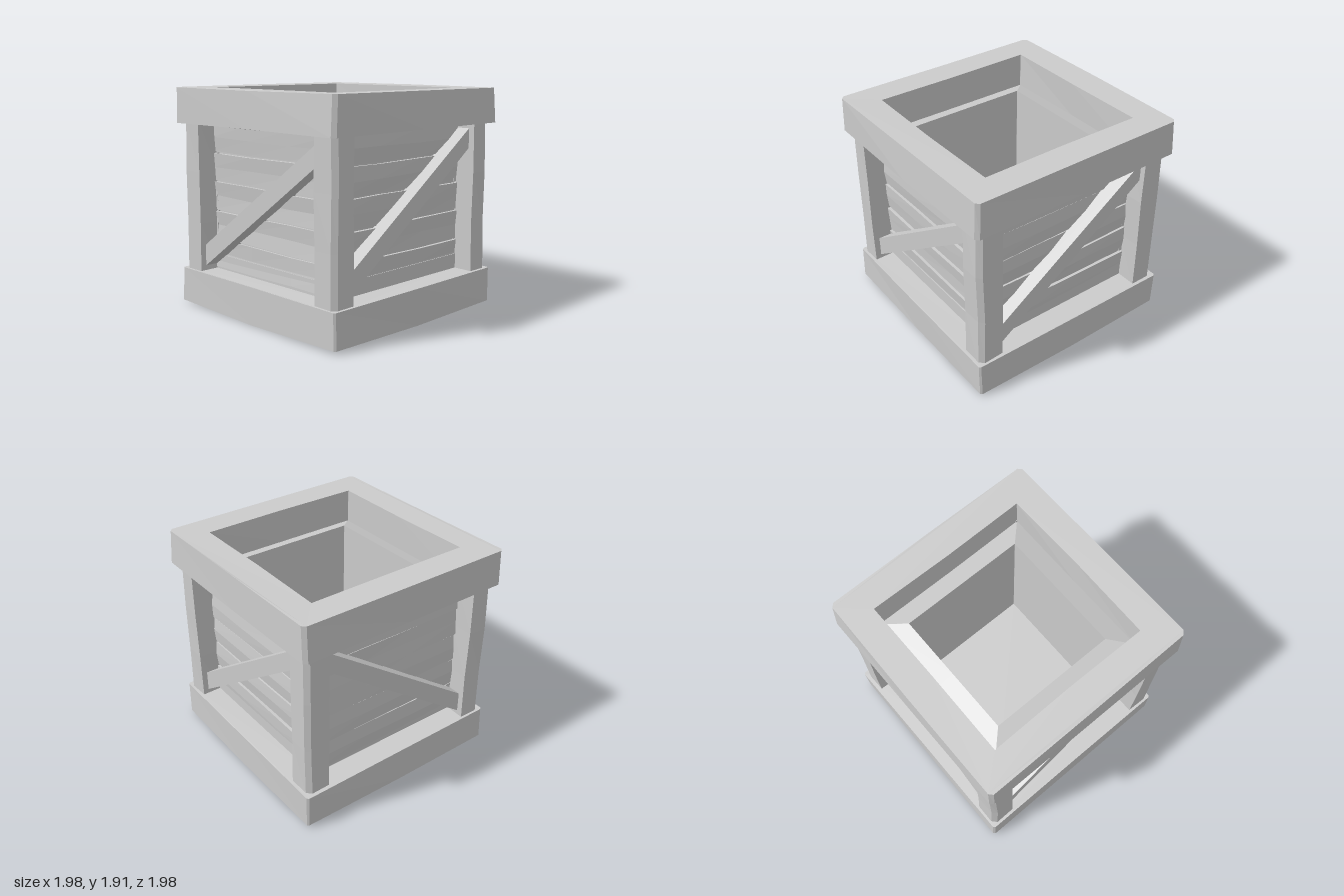
import * as THREE from 'three';

const material = new THREE.MeshStandardMaterial({ color: 0xcccccc, flatShading: true });

// Moves every vertex by a rule of its position, so seams stay closed
function reshape(geometry, rule) {
  const p = geometry.attributes.position;
  const v = new THREE.Vector3();
  for (let i = 0; i < p.count; i++) {
    rule(v.fromBufferAttribute(p, i));
    p.setXYZ(i, v.x, v.y, v.z);
  }
  geometry.computeVertexNormals();
  return geometry;
}

// Hand-hewn unevenness
function hew(geometry, amount, seed) {
  return reshape(geometry, (v) => {
    const phase = v.x * 5.3 + v.y * 7.1 + v.z * 4.7 + seed * 2.3;
    v.x += amount * Math.sin(phase + 1);
    v.y += amount * 0.6 * Math.sin(phase * 1.7 + 2);
    v.z += amount * Math.sin(phase * 2.3 + 4);
  });
}

function part(name, geometry) {
  const mesh = new THREE.Mesh(geometry, material);
  mesh.name = name;
  return mesh;
}

// Square outline with clipped corners and a point halfway along each side
function squarePoints(half, clip) {
  const points = [];
  for (let i = 0; i < 4; i++) {
    const a = i * Math.PI / 2;
    for (const [x, y] of [[half, -half + clip], [half, 0], [half, half - clip]]) {
      points.push(new THREE.Vector2(x * Math.cos(a) - y * Math.sin(a), x * Math.sin(a) + y * Math.cos(a)));
    }
  }
  return points;
}

// Upright extrusion of a plan shape from y0 to y1
function upright(shape, y0, y1, steps = 1) {
  const geometry = new THREE.ExtrudeGeometry(shape, { depth: y1 - y0, steps, bevelEnabled: false });
  return geometry.rotateX(-Math.PI / 2).translate(0, y0, 0);
}

// Hollow square standing from y0 to y1
function ring(outer, inner, y0, y1, clip) {
  const shape = new THREE.Shape(squarePoints(outer, clip));
  shape.holes.push(new THREE.Path(squarePoints(inner, 0.001)));
  return upright(shape, y0, y1);
}

// One side: five planks and a diagonal brace, built facing +z
function buildSide(name, seed, mirror) {
  const side = new THREE.Group();
  side.name = name;
  const bottom = 0.335, pitch = 0.254;
  for (let i = 0; i < 5; i++) {
    const plank = new THREE.BoxGeometry(1.5, pitch - 0.014, 0.07, 3, 2, 1);
    plank.translate(0, bottom + pitch * (i + 0.5), 0.725);
    side.add(part('plank', hew(plank, 0.009, seed * 5 + i * 1.7)));
  }
  const corners = [[-0.74, 0.35], [0.735, 1.4], [0.735, 1.57], [-0.74, 0.535]];
  const outline = new THREE.Shape(corners.map(([u, y]) => new THREE.Vector2(u * mirror, y)));
  const brace = new THREE.ExtrudeGeometry(outline, { depth: 0.15, bevelEnabled: false });
  side.add(part('diagonalBrace', brace.translate(0, 0, 0.73)));
  return side;
}

export function createModel() {
  const crate = new THREE.Group();
  crate.name = 'woodenCrate';

  // Rim frame, slightly flared toward its lower edge
  const rim = reshape(ring(0.985, 0.727, 1.605, 1.908, 0.03), (v) => {
    if (v.y > 1.8 && Math.max(Math.abs(v.x), Math.abs(v.z)) > 0.9) {
      v.x *= 0.988;
      v.z *= 0.988;
    }
  });
  crate.add(part('topFrame', hew(rim, 0.005, 1)));

  // Base frame, sagging a little at the middle of each side
  const base = reshape(ring(0.962, 0.75, 0.022, 0.32, 0.015), (v) => {
    if (v.y < 0.1 && Math.min(Math.abs(v.x), Math.abs(v.z)) < 0.1) v.y -= 0.018;
  });
  crate.add(part('bottomFrame', hew(base, 0.005, 2)));

  // Inner lining, its top sloping up toward the opening, and the floor
  const lining = reshape(ring(0.74, 0.555, 0.3, 1.603, 0.001), (v) => {
    if (v.y > 1 && Math.max(Math.abs(v.x), Math.abs(v.z)) < 0.6) v.y += 0.065;
  });
  crate.add(part('innerLining', lining));
  crate.add(part('floor', new THREE.BoxGeometry(1.52, 0.15, 1.52).translate(0, 0.375, 0)));

  // Corner posts with the outer edge chamfered
  const plan = [[0.72, 0.73], [0.933, 0.73], [0.933, 0.895], [0.895, 0.933], [0.72, 0.933]];
  for (const sx of [-1, 1]) {
    for (const sz of [-1, 1]) {
      const shape = new THREE.Shape(plan.map(([x, z]) => new THREE.Vector2(x * sx, -z * sz)));
      crate.add(part('cornerPost', hew(upright(shape, 0.3, 1.63, 3), 0.005, sx + sz * 2)));
    }
  }

  // Four planked sides; the brace on the -x side leans the other way
  const sides = [
    ['frontSide', 0, 1], ['leftSide', Math.PI / 2, 1],
    ['backSide', Math.PI, 1], ['rightSide', -Math.PI / 2, -1],
  ];
  sides.forEach(([name, angle, mirror], i) => {
    const side = buildSide(name, i, mirror);
    side.rotation.y = angle;
    crate.add(side);
  });
  return crate;
}
